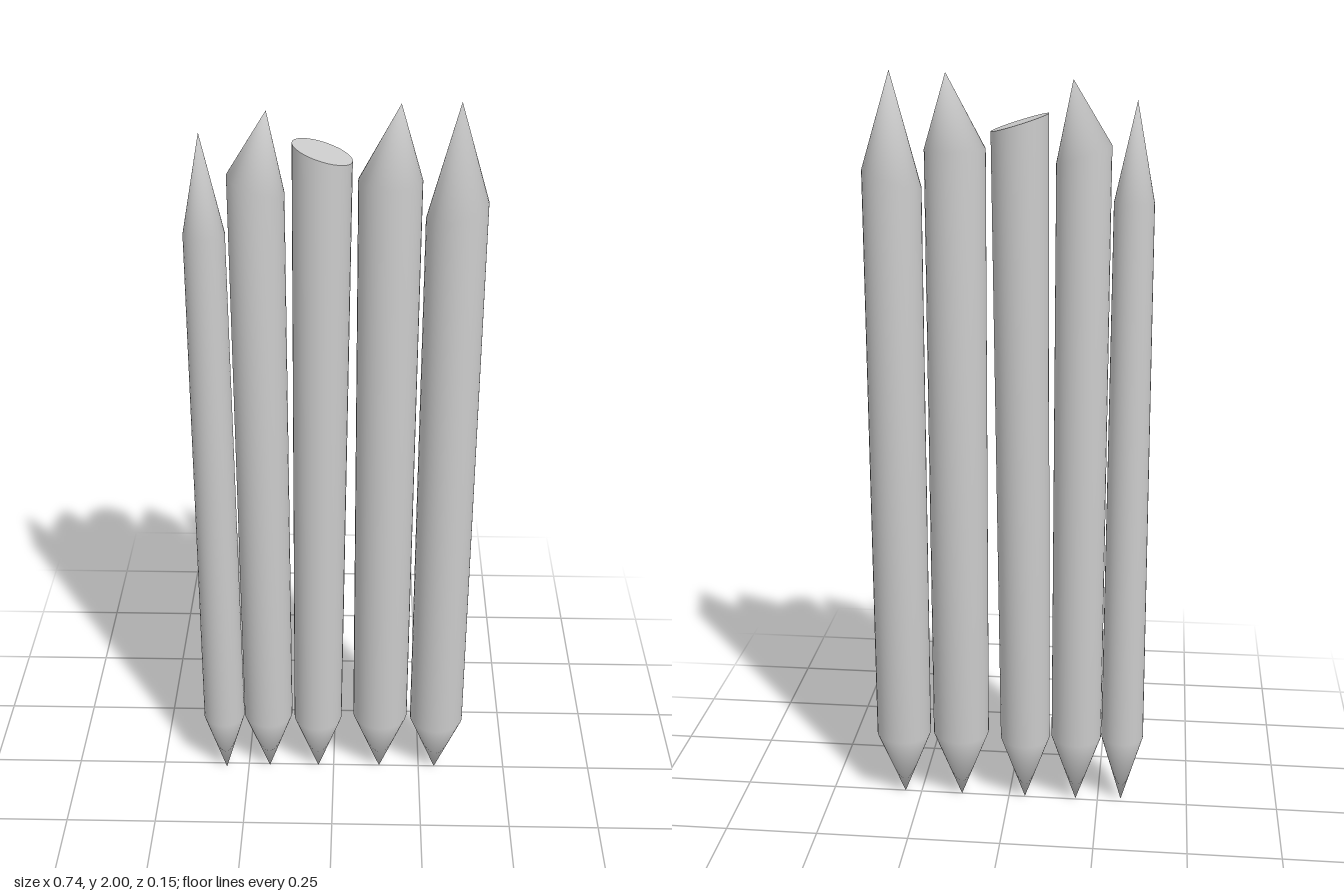
import * as THREE from 'three';

const SIDES = 32;

// base / top: rim centres [x, y, z] with radius r; slope: rise of the top rim along +x
// tip: sharpened top point, left out for the stake that is sawn off flat
const STAKES = [
  { base: [-0.315, 0.2, 0.015], r0: 0.058, top: [-0.312, 1.68, 0.022], r1: 0.051, slope: 0, foot: [-0.315, 0, 0.015], tip: [-0.315, 1.93, 0.022] },
  { base: [-0.188, 0.2, 0.005], r0: 0.069, top: [-0.186, 1.8, 0.005], r1: 0.069, slope: -0.33, foot: [-0.188, 0, 0.005], tip: [-0.157, 1.98, 0.01] },
  { base: [-0.045, 0.19, 0.003], r0: 0.068, top: [-0.027, 1.877, -0.005], r1: 0.072, slope: -0.31, foot: [-0.045, 0, 0.003] },
  { base: [0.134, 0.2, -0.001], r0: 0.077, top: [0.135, 1.81, -0.001], r1: 0.077, slope: 0, foot: [0.134, 0, 0], tip: [0.157, 1.995, 0] },
  { base: [0.296, 0.19, -0.001], r0: 0.075, top: [0.296, 1.735, -0.001], r1: 0.075, slope: 0.3, foot: [0.296, 0, 0], tip: [0.297, 2, 0] },
];

// Rounded log with a pointed foot and either a pointed or a flat slanted head
function stakeGeometry({ base, r0, top, r1, slope, foot, tip }) {
  const pos = [], index = [];
  const ring = ([x, y, z], r, rise) => {
    const start = pos.length / 3;
    for (let i = 0; i < SIDES; i++) {
      const a = (i / SIDES) * Math.PI * 2;
      const dx = r * Math.cos(a);
      pos.push(x + dx, y + rise * dx, z + r * Math.sin(a));
    }
    return start;
  };
  const point = (p) => pos.push(...p) / 3 - 1;

  const footPoint = point(foot);
  const lower = ring(base, r0, 0);
  const upper = ring(top, r1, slope);
  // The flat head has its own rim so the sawn edge stays sharp
  const headRim = tip ? upper : ring(top, r1, slope);
  const headPoint = point(tip ?? top);

  for (let i = 0; i < SIDES; i++) {
    const j = (i + 1) % SIDES;
    index.push(footPoint, lower + i, lower + j);
    index.push(lower + i, upper + i, upper + j, lower + i, upper + j, lower + j);
    index.push(headPoint, headRim + j, headRim + i);
  }
  const geometry = new THREE.BufferGeometry();
  geometry.setAttribute('position', new THREE.Float32BufferAttribute(pos, 3));
  geometry.setIndex(index);
  geometry.computeVertexNormals();
  return geometry;
}

export function createModel() {
  const group = new THREE.Group();
  group.name = 'palisade';
  const wood = new THREE.MeshStandardMaterial({ color: 0xcccccc });
  STAKES.forEach((stake, i) => {
    const mesh = new THREE.Mesh(stakeGeometry(stake), wood);
    mesh.name = `${stake.tip ? 'pointedStake' : 'flatStake'}${i + 1}`;
    group.add(mesh);
  });
  return group;
}
